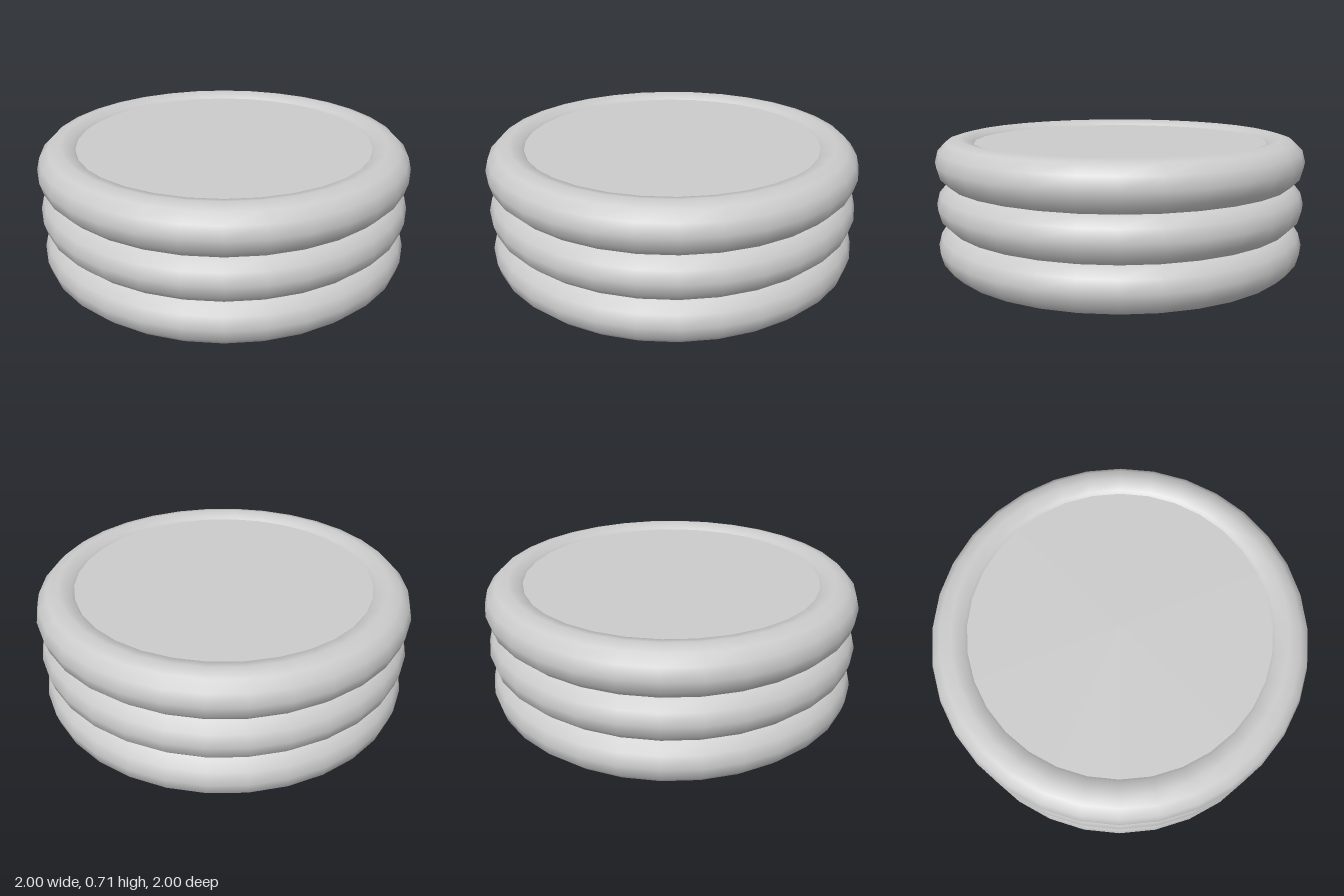
import * as THREE from 'three';

const RING_RADIUS = 0.873;
const TUBE_RADIUS = 0.127;
const RING_SPACING = 0.226;
const SEGMENTS = 32;

export function createModel() {
  const model = new THREE.Group();
  model.name = 'inflatablePool';
  const material = new THREE.MeshStandardMaterial({ color: 0xcccccc });
  const sheetMaterial = new THREE.MeshStandardMaterial({ color: 0xcccccc, side: THREE.DoubleSide });

  // Three overlapping inflated rings, stacked
  const ringGeometry = new THREE.TorusGeometry(RING_RADIUS, TUBE_RADIUS, 12, SEGMENTS);
  ringGeometry.rotateX(-Math.PI / 2);
  ['lowerRing', 'middleRing', 'upperRing'].forEach((name, i) => {
    const ring = new THREE.Mesh(ringGeometry, material);
    ring.name = name;
    ring.position.y = TUBE_RADIUS + i * RING_SPACING;
    model.add(ring);
  });

  // Thin flat sheet closing the upper ring, its rim tucked into the tube
  const sheetGeometry = new THREE.CircleGeometry(0.82, SEGMENTS);
  sheetGeometry.rotateX(-Math.PI / 2);
  const sheet = new THREE.Mesh(sheetGeometry, sheetMaterial);
  sheet.name = 'topSheet';
  sheet.position.y = 0.675;
  model.add(sheet);

  return model;
}
